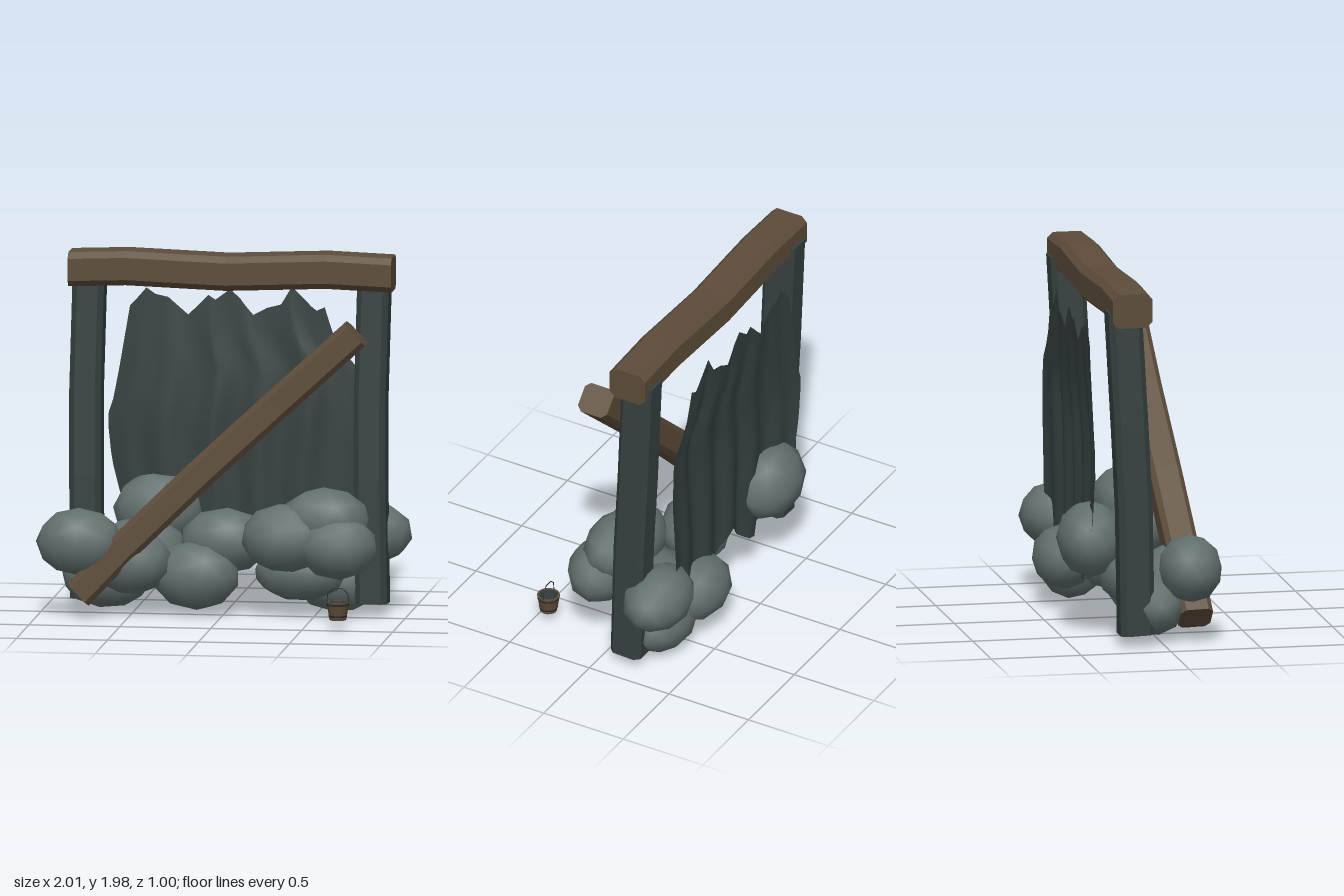
import * as THREE from 'three';

const V = (x, y, z) => new THREE.Vector3(x, y, z);
const mat = (name, color, side = THREE.FrontSide) =>
  Object.assign(new THREE.MeshStandardMaterial({ color, side }), { name });

// Hewn timber: a chamfered rectangle swept along a path, flat faced
function timber(path, halfDepth, halfHeight, chamfer) {
  const d = path[path.length - 1].clone().sub(path[0]).normalize();
  const u = V(0, 0, 1).addScaledVector(d, -d.z).normalize();
  const v = d.clone().cross(u);
  const a = halfDepth, b = halfHeight, c = chamfer;
  const ring = [[a, c - b], [a, b - c], [a - c, b], [c - a, b], [-a, b - c], [-a, c - b], [c - a, -b], [a - c, -b]];
  const n = ring.length, pos = [], idx = [];
  for (const p of path) {
    for (const [s, t] of ring) pos.push(...p.clone().addScaledVector(u, s).addScaledVector(v, t).toArray());
  }
  for (let k = 0; k < path.length - 1; k++) {
    for (let j = 0; j < n; j++) {
      const p = k * n + j, q = k * n + (j + 1) % n;
      idx.push(p, q, p + n, q, q + n, p + n);
    }
  }
  const e = (path.length - 1) * n;
  for (let j = 1; j < n - 1; j++) idx.push(0, j + 1, j, e, e + j, e + j + 1);
  const g = new THREE.BufferGeometry();
  g.setAttribute('position', new THREE.Float32BufferAttribute(pos, 3));
  g.setIndex(idx);
  const flat = g.toNonIndexed();
  flat.computeVertexNormals();
  return flat;
}

// Linear lookup in a list of [key, value] with rising keys
function lookup(list, t) {
  if (t <= list[0][0]) return list[0][1];
  for (let i = 1; i < list.length; i++) {
    const [k0, v0] = list[i - 1], [k1, v1] = list[i];
    if (t <= k1) return v0 + (v1 - v0) * (t - k0) / (k1 - k0);
  }
  return list[list.length - 1][1];
}

// Ragged sheet, flat along its top and sides, bulging forward in soft folds
function sheet() {
  const top = [[-0.56, 1.65], [-0.53, 1.68], [-0.47, 1.75], [-0.42, 1.715], [-0.35, 1.70], [-0.24, 1.605],
    [-0.13, 1.715], [-0.09, 1.69], [-0.01, 1.75], [0.045, 1.70], [0.11, 1.61], [0.19, 1.65], [0.27, 1.67],
    [0.33, 1.77], [0.40, 1.70], [0.46, 1.64], [0.51, 1.66]];
  const bottom = [[-0.56, 0.62], [-0.5, 0.54], [-0.42, 0.62], [-0.33, 0.4], [-0.23, 0.25], [-0.14, 0.33],
    [-0.05, 0.46], [0.08, 0.34], [0.3, 0.3], [0.42, 0.4], [0.51, 0.5]];
  const left = [[0.6, -0.61], [0.8, -0.66], [1.04, -0.685], [1.12, -0.655], [1.3, -0.62], [1.65, -0.56]];
  const right = [[0.6, 0.68], [1.0, 0.715], [1.31, 0.71], [1.42, 0.61], [1.5, 0.56], [1.66, 0.51]];
  const keys = [];
  for (let i = 0; i < top.length - 1; i++) {
    for (let s = 0; s < 3; s++) keys.push(top[i][0] + (top[i + 1][0] - top[i][0]) * s / 3);
  }
  keys.push(0.51);
  const rows = 14, pos = [], idx = [];
  for (const k of keys) {
    const u = (k + 0.56) / 1.07;
    const edge = Math.min(1, 6 * u, 6 * (1 - u));
    for (let r = 0; r <= rows; r++) {
      const y = THREE.MathUtils.lerp(lookup(bottom, k), lookup(top, k), r / rows);
      const x = THREE.MathUtils.lerp(lookup(left, y), lookup(right, y), u);
      const depth = 0.062 * edge * Math.min(1, (lookup(top, k) - y) / 0.6);
      pos.push(x, y, -0.362 + depth * (0.72 + 0.28 * Math.sin(u * 34 + 0.6 * Math.sin(y * 3))));
    }
  }
  const n = rows + 1;
  for (let i = 0; i < keys.length - 1; i++) {
    for (let r = 0; r < rows; r++) {
      const p = i * n + r;
      idx.push(p, p + n, p + 1, p + n, p + n + 1, p + 1);
    }
  }
  const g = new THREE.BufferGeometry();
  g.setAttribute('position', new THREE.Float32BufferAttribute(pos, 3));
  g.setIndex(idx);
  g.computeVertexNormals();
  return g;
}

export function createModel() {
  const group = new THREE.Group();
  const wood = mat('brown timber', 0x5d4c3a);
  const darkWood = mat('dark weathered timber', 0x364040);
  const cloth = mat('dark sheet', 0x364040, THREE.DoubleSide);
  const stone = mat('grey stone', 0x62706f);
  const iron = mat('dark iron', 0x2a2d2d, THREE.DoubleSide);
  const add = (name, geo, material, parent = group) => {
    const m = new THREE.Mesh(geo, material);
    m.name = name;
    parent.add(m);
    return m;
  };

  // Frame: lintel, two posts and a fallen brace
  add('lintel', timber([V(-0.865, 1.88, -0.185), V(-0.55, 1.892, -0.185), V(0, 1.871, -0.19),
    V(0.55, 1.894, -0.185), V(0.912, 1.88, -0.187)], 0.111, 0.094, 0.033), wood);
  add('rightPost', timber([V(-0.765, 0.07, -0.148), V(-0.772, 0.75, -0.16), V(-0.775, 1.2, -0.183),
    V(-0.76, 1.87, -0.218)], 0.094, 0.087, 0.03), darkWood);
  add('leftPost', timber([V(0.803, 0.07, -0.148), V(0.792, 0.75, -0.16), V(0.79, 1.2, -0.183),
    V(0.805, 1.87, -0.218)], 0.094, 0.087, 0.03), darkWood);
  add('fallenBrace', timber([V(-0.765, 0.14, 0.185), V(-0.53, 0.39, 0.17), V(-0.1, 0.81, 0.145),
    V(0.32, 1.2, 0.12), V(0.745, 1.59, 0.105)], 0.09, 0.083, 0.028), wood);

  // Torn backing sheet
  add('backSheet', sheet(), cloth);

  // Boulders: centre, then radii; each coarse stone is turned differently
  const rocks = [
    [-0.77, 0.42, 0.155, 0.23, 0.18, 0.168], [0.645, 0.415, 0.125, 0.215, 0.175, 0.175],
    [0.76, 0.435, -0.297, 0.235, 0.17, 0.178], [-0.4, 0.53, -0.325, 0.24, 0.205, 0.18],
    [0.37, 0.28, -0.315, 0.23, 0.17, 0.17], [0.6, 0.18, -0.23, 0.23, 0.17, 0.17],
    [0.57, 0.55, 0.06, 0.24, 0.175, 0.17], [0.36, 0.455, 0.1, 0.24, 0.185, 0.17],
    [0, 0.405, -0.09, 0.24, 0.175, 0.17], [-0.15, 0.225, 0.0, 0.235, 0.185, 0.18],
    [-0.5, 0.31, 0.08, 0.225, 0.18, 0.17], [-0.64, 0.21, -0.03, 0.245, 0.17, 0.17],
    [-0.46, 0.35, -0.12, 0.24, 0.17, 0.17], [0.42, 0.25, -0.06, 0.25, 0.16, 0.17],
  ];
  rocks.forEach(([x, y, z, rx, ry, rz], i) => {
    const boulder = new THREE.IcosahedronGeometry(1.035, 1).rotateY(i * 1.3).rotateZ(i * 0.7);
    const m = add('boulder' + (i + 1), boulder, stone);
    m.position.set(x, y, z);
    m.scale.set(rx, ry, rz);
  });

  // Bucket with two thin hoops, hollow inside and a wire handle
  const bucket = new THREE.Group();
  bucket.name = 'bucket';
  bucket.position.set(0.69, 0.06, 0.435);
  group.add(bucket);
  const tube = (r1, r0, h, y, open) => new THREE.CylinderGeometry(r1, r0, h, 16, 1, open).translate(0, y, 0);
  add('bucketStaves', tube(0.063, 0.046, 0.1, 0.05, true), wood, bucket);
  add('bucketInside', tube(0.05, 0.042, 0.09, 0.055, true), darkWood.clone().copy(cloth), bucket).material = cloth;
  add('bucketRim', new THREE.RingGeometry(0.05, 0.063, 16).rotateX(-Math.PI / 2).translate(0, 0.1, 0), wood, bucket);
  add('bucketFloor', tube(0.045, 0.045, 0.008, 0.006, false), darkWood, bucket);
  add('upperHoop', tube(0.0622, 0.0605, 0.01, 0.085, true), iron, bucket);
  add('lowerHoop', tube(0.0518, 0.0501, 0.01, 0.022, true), iron, bucket);
  const wire = new THREE.CurvePath();
  const bend = [V(-0.06, 0.09, 0), V(-0.056, 0.145, 0), V(-0.025, 0.172, 0), V(0.025, 0.172, 0), V(0.056, 0.145, 0), V(0.06, 0.09, 0)];
  for (let i = 1; i < bend.length; i++) wire.add(new THREE.LineCurve3(bend[i - 1], bend[i]));
  add('bucketHandle', new THREE.TubeGeometry(wire, 30, 0.0028, 6), iron, bucket);

  return group;
}
